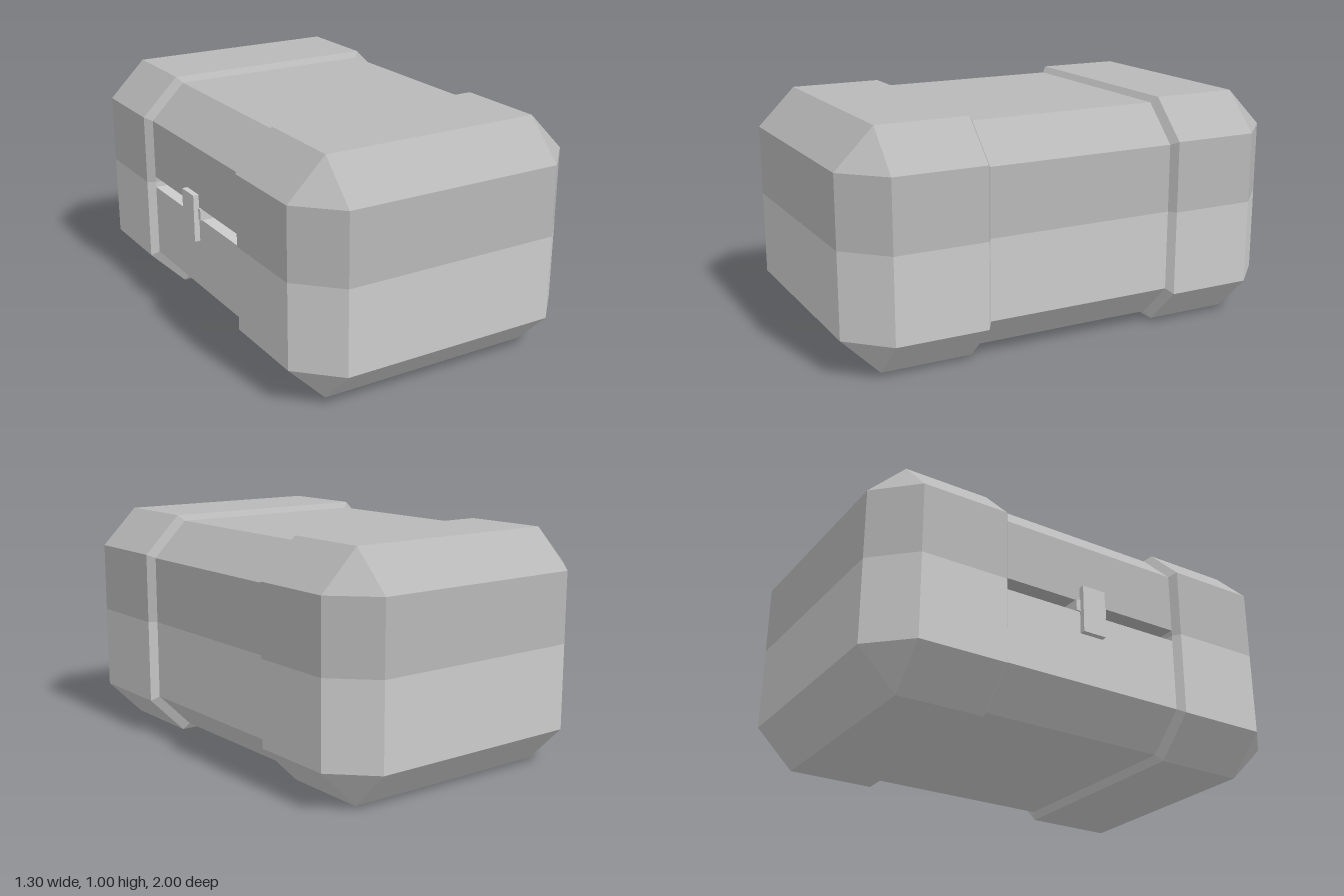
import * as THREE from 'three';

const SPLIT = 0.53; // height where lid meets base
const GAP = 0.025;  // half height of the slot on the latch side

// Cross-sections from front to back: z, half width, bottom, top, corner chamfer, slot depth
const SECTIONS = [
  [1, 0.485, 0.165, 0.835, 0, 0],
  [0.835, 0.65, 0, 1, 0.165, 0],
  [0.435, 0.65, 0, 1, 0.165, 0],
  [0.412, 0.617, 0.03, 0.975, 0.155, 0],
  [0.412, 0.617, 0.03, 0.975, 0.155, 0.08],
  [-0.432, 0.617, 0.03, 0.975, 0.155, 0.08],
  [-0.432, 0.617, 0.03, 0.975, 0.155, 0],
  [-0.455, 0.65, 0, 1, 0.165, 0],
  [-0.835, 0.65, 0, 1, 0.165, 0],
  [-1, 0.485, 0.165, 0.835, 0, 0],
];

// Half of a chamfered outline, counter-clockwise, with the slot notched into -x
function halfRing([z, w, bottom, top, c, slot], isLid) {
  const dir = isLid ? 1 : -1;
  const edge = isLid ? top : bottom;
  const notchY = SPLIT + (slot ? dir * GAP : 0);
  const pts = [
    [w, SPLIT], [w, edge - dir * c], [w - c, edge],
    [c - w, edge], [-w, edge - dir * c],
    [-w, notchY], [slot - w, notchY], [slot - w, SPLIT],
  ].map(([x, y]) => new THREE.Vector3(x, y, z));
  return isLid ? pts : pts.reverse();
}

// Loft the half outlines into a flat-shaded shell
function halfShell(isLid) {
  const rings = SECTIONS.map((s) => halfRing(s, isLid));
  const pos = [];
  const tri = (a, b, c) => {
    if (new THREE.Triangle(a, b, c).getArea() > 1e-7) {
      for (const p of [a, b, c]) pos.push(p.x, p.y, p.z);
    }
  };
  for (let r = 0; r < rings.length - 1; r++) {
    const f = rings[r], b = rings[r + 1];
    for (let i = 0; i < f.length - 1; i++) {
      tri(f[i], b[i], b[i + 1]);
      tri(f[i], b[i + 1], f[i + 1]);
    }
  }
  // End faces
  const front = rings[0], back = rings[rings.length - 1];
  for (let i = 1; i < front.length - 1; i++) {
    tri(front[0], front[i], front[i + 1]);
    tri(back[0], back[i + 1], back[i]);
  }
  const geo = new THREE.BufferGeometry();
  geo.setAttribute('position', new THREE.Float32BufferAttribute(pos, 3));
  geo.computeVertexNormals();
  return geo;
}

export function createModel() {
  const group = new THREE.Group();
  group.name = 'chest';
  const grey = new THREE.MeshStandardMaterial({ color: 0xcccccc, flatShading: true });
  const darkGrey = new THREE.MeshStandardMaterial({ color: 0xb8b8b8, flatShading: true });

  const add = (name, geo, mat, x = 0, y = 0, z = 0) => {
    const mesh = new THREE.Mesh(geo, mat);
    mesh.name = name;
    mesh.position.set(x, y, z);
    group.add(mesh);
  };

  add('lid', halfShell(true), darkGrey);
  add('base', halfShell(false), grey);

  // Latch plate standing on a stem that comes out of the slot
  add('latchPlate', new THREE.BoxGeometry(0.025, 0.21, 0.11), grey, -0.633, 0.51, -0.025);
  add('latchStem', new THREE.BoxGeometry(0.09, 0.05, 0.15), grey, -0.58, 0.53, -0.025);

  return group;
}
